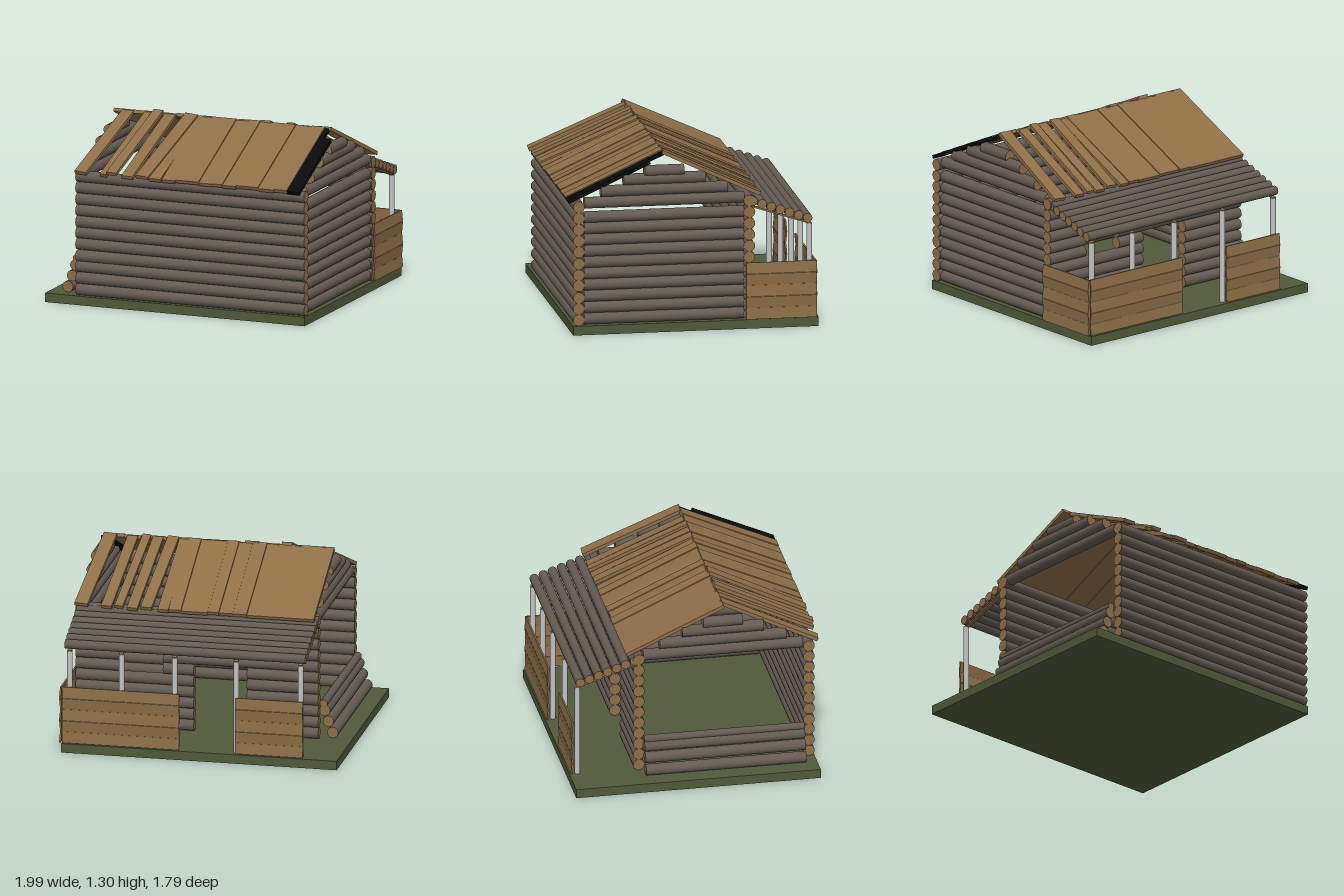
import * as THREE from 'three';

const mat = (name, color) => {
  const m = new THREE.MeshStandardMaterial({ color });
  m.name = name;
  return m;
};

export function createModel() {
  const model = new THREE.Group();
  model.name = 'logCabin';
  const bark = mat('weatheredBark', 0x655b52);
  const wood = mat('cutWood', 0x8f6f47);
  const grass = mat('grass', 0x505a39);
  const metal = mat('paleGrey', 0xc4c4c4);
  const black = mat('charredBlack', 0x0a0a0a);

  // small seeded jitter for the weathered look
  let seed = 7;
  const jitter = (a) => {
    seed = (seed * 16807) % 2147483647;
    return (seed / 2147483647 - 0.5) * 2 * a;
  };

  const group = (name, parent = model) => {
    const g = new THREE.Group();
    g.name = name;
    parent.add(g);
    return g;
  };

  const box = (parent, name, material, size, pos) => {
    const m = new THREE.Mesh(new THREE.BoxGeometry(...size), material);
    m.name = name;
    m.position.set(...pos);
    parent.add(m);
    return m;
  };

  // log with bark sides and bare wood ends, running along x or z
  const log = (parent, axis, from, to, y, across, r = 0.041) => {
    const m = new THREE.Mesh(new THREE.CylinderGeometry(r, r, to - from, 14), [bark, wood, wood]);
    m.name = 'log';
    const mid = (from + to) / 2;
    if (axis === 'x') {
      m.rotation.z = Math.PI / 2;
      m.position.set(mid, y, across);
    } else {
      m.rotation.x = Math.PI / 2;
      m.position.set(across, y, mid);
    }
    parent.add(m);
    return m;
  };

  const logY = (i) => 0.107 + 0.081 * i;
  const X0 = -0.77, X1 = 0.965;

  // ground slab
  box(model, 'ground', grass, [1.97, 0.065, 1.74], [-0.015, 0.0325, -0.02]);

  // front wall, a few logs slightly out of line
  const frontWall = group('frontWall');
  for (let i = 0; i < 11; i++) {
    const l = log(frontWall, 'x', X0, X1, logY(i), 0.81);
    if (i > 1 && i < 8) l.rotation.z += jitter(0.004);
  }

  // back wall with a doorway and a window
  const backWall = group('backWall');
  for (let i = 0; i < 11; i++) {
    const cuts = [X0];
    if (i < 6) cuts.push(-0.26, 0.12);
    if (i > 4 && i < 8) cuts.push(0.34, 0.64);
    cuts.push(X1);
    for (let k = 0; k < cuts.length; k += 2) log(backWall, 'x', cuts[k], cuts[k + 1], logY(i), -0.4);
  }

  // right side wall, complete
  const sideWall = group('sideWall');
  for (let i = 0; i < 10; i++) log(sideWall, 'z', -0.365, 0.77, logY(i), 0.92);

  // collapsed side wall: bottom logs pushed outwards
  const fallen = group('collapsedWall');
  [[-0.86, 0.107], [-0.828, 0.187], [-0.803, 0.265], [-0.795, 0.315]].forEach(([x, y], i) =>
    log(fallen, 'z', -0.37, 0.77, y, x, i === 3 ? 0.028 : 0.04));

  // gable logs on both ends
  for (const x of [-0.73, 0.92]) {
    const gable = group('gable');
    [[0.938, 0.567], [1.018, 0.45], [1.095, 0.29], [1.15, 0.14]].forEach(([y, h]) =>
      log(gable, 'z', 0.2 - h, 0.2 + h, y, x));
  }

  // roof slopes: boards given as [x at ridge, x at eave, width, lift]
  const L = 0.757;
  const slope = (name, s, boards) => {
    const g = group(name);
    g.position.set(0, 1.285, 0.2);
    g.rotation.x = s * 0.427;
    for (const [xt, xb, w, lift = 0] of boards) {
      const b = box(g, 'roofBoard', wood, [w, 0.026, L + jitter(0.008)],
        [(xt + xb) / 2, -0.02 + lift, s * L / 2]);
      b.rotation.y = Math.atan2(xb - xt, s * L);
    }
    return g;
  };
  const straight = (edges) => edges.slice(1).map((e, i) =>
    [(e + edges[i]) / 2, (e + edges[i]) / 2, e - edges[i] - 0.002, (i % 2) * 0.005]);

  const frontRoof = slope('frontRoof', 1, [
    [-0.64, -0.72, 0.09], [-0.49, -0.545, 0.05], [-0.41, -0.48, 0.075, 0.02],
    [-0.32, -0.365, 0.085], [-0.16, -0.25, 0.1, 0.012], [-0.12, -0.155, 0.09],
    ...straight([-0.1, 0, 0.18, 0.28, 0.36, 0.46, 0.63, 0.75, 0.85]),
  ]);
  // blackened boards at the roof end
  box(frontRoof, 'charredBoard', black, [0.032, 0.026, L], [0.866, -0.022, L / 2]);
  box(frontRoof, 'brokenCharredBoard', black, [0.06, 0.026, L - 0.12], [0.911, -0.022, L / 2 + 0.06]);

  slope('backRoof', -1, [
    ...straight([-0.75, -0.27, -0.17, -0.07, 0.01, 0.2, 0.29]),
    [0.32, 0.33, 0.075], [0.4, 0.45, 0.08, 0.012], [0.51, 0.55, 0.075],
    [0.59, 0.645, 0.06, 0.012], [0.69, 0.735, 0.075], [0.85, 0.915, 0.095, 0.008],
  ]);

  // porch roof of slim logs
  const porch = group('porch');
  for (let i = 0; i < 7; i++) {
    log(porch, 'x', -0.765, 0.955, 0.91 - 0.0225 * i, -0.428 - 0.0645 * i, 0.033);
  }

  // porch posts with thin rafters
  for (const x of [-0.73, -0.27, 0.17, 0.55, 0.92]) {
    const post = new THREE.Mesh(new THREE.CylinderGeometry(0.02, 0.02, 0.665, 12), metal);
    post.name = 'porchPost';
    post.position.set(x, 0.3975, -0.832);
    porch.add(post);
    const rafter = box(porch, 'rafter', wood, [0.03, 0.012, 0.495], [x, 0.808, -0.608]);
    rafter.rotation.x = -Math.atan2(0.155, 0.47);
  }

  // board railings: two at the back and one at the side
  const rail = (name, from, to, across, alongZ) => {
    const g = group(name);
    const len = to - from, mid = (from + to) / 2;
    for (let i = 0; i < 5; i++) {
      const y = 0.109 + i * 0.0815;
      const b = alongZ
        ? box(g, 'railBoard', wood, [0.012, 0.08, len], [across, y, mid])
        : box(g, 'railBoard', wood, [len, 0.08, 0.012], [mid, y, across]);
      // boards lean a little, alternately in and out
      if (alongZ) b.rotation.z = (i % 2 ? -1 : 1) * 0.1;
      else b.rotation.x = (i % 2 ? -1 : 1) * 0.1;
    }
  };
  rail('backRailWide', 0.13, 0.965, -0.872, false);
  rail('backRailNarrow', -0.755, -0.27, -0.872, false);
  rail('sideRail', -0.875, -0.375, 0.978, true);

  return model;
}
